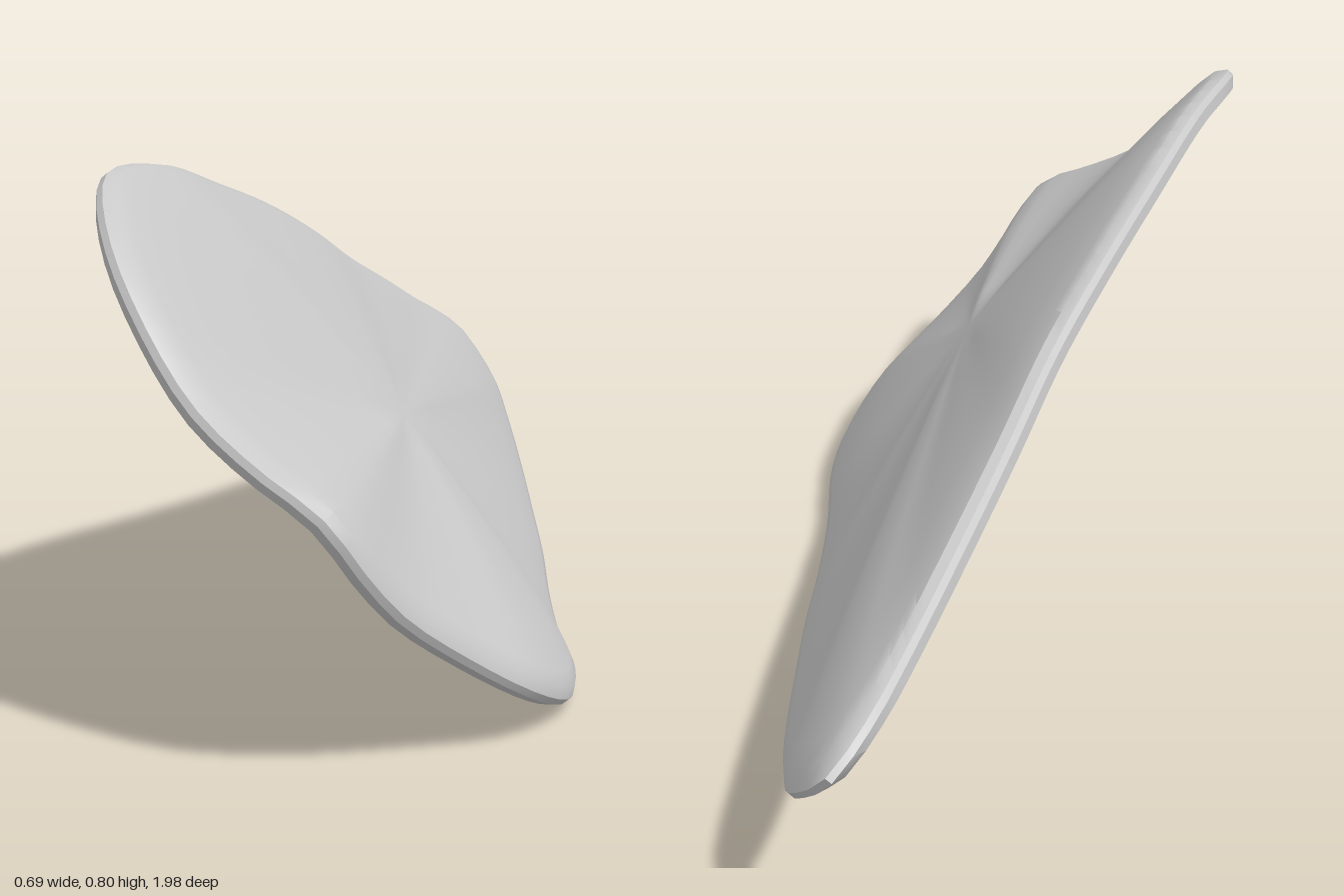
import * as THREE from 'three';
import { toCreasedNormals } from 'three/addons/utils/BufferGeometryUtils.js';

// Outline of the plate as [x, y, z]: along the upper edge front to back, then the lower edge back to front
const upperEdge = [
  [0.07, 0.40, 0.99], [-0.04, 0.465, 0.95], [-0.14, 0.535, 0.89], [-0.25, 0.67, 0.8], [-0.31, 0.755, 0.7],
  [-0.34, 0.80, 0.58], [-0.32, 0.79, 0.4], [-0.288, 0.735, 0.2], [-0.255, 0.675, 0], [-0.22, 0.6, -0.2],
  [-0.197, 0.52, -0.4], [-0.175, 0.45, -0.6], [-0.148, 0.375, -0.8], [-0.13, 0.335, -0.91],
];
const lowerEdge = [
  [-0.095, 0.285, -0.99], [-0.02, 0.205, -0.92], [0.03, 0.145, -0.8], [0.09, 0.09, -0.6], [0.14, 0.06, -0.4],
  [0.187, 0.04, -0.2], [0.227, 0.024, 0], [0.272, 0.017, 0.2], [0.325, 0.021, 0.4], [0.34, 0.035, 0.55],
  [0.31, 0.09, 0.7], [0.24, 0.16, 0.8], [0.165, 0.245, 0.9], [0.125, 0.31, 0.95],
];

// Rings from upper centre, round the rim, to lower centre: [scale of outline, height off the plane]
const rings = [
  [0.2, 0.063], [0.4, 0.057], [0.6, 0.05], [0.8, 0.038], [0.93, 0.027], [0.975, 0.02], [1, 0.006], [1, -0.006],
  [0.975, -0.021], [0.93, -0.021], [0.8, -0.012], [0.6, 0], [0.4, 0.008], [0.2, 0.014],
];

function plateGeometry(segments) {
  const center = new THREE.Vector3(0, 0.36, 0.3);
  const normal = new THREE.Vector3(0.74, 0.665, -0.103).normalize();
  const outline = new THREE.CatmullRomCurve3(
    [...upperEdge, ...lowerEdge].map((p) => new THREE.Vector3(...p)), true, 'centripetal');
  const edge = outline.getSpacedPoints(segments).slice(0, segments);
  const positions = [];
  const index = [];
  const add = (point, height) => positions.push(...point.addScaledVector(normal, height).toArray());

  for (const [scale, height] of rings) {
    for (const p of edge) add(center.clone().lerp(p, scale), height);
  }
  add(center.clone(), 0.065);
  add(center.clone(), 0.016);

  const top = rings.length * segments;
  const last = (rings.length - 1) * segments;
  for (let i = 0; i < segments; i++) {
    const j = (i + 1) % segments;
    for (let r = 0; r < last; r += segments) {
      const a = r + i, b = r + j, c = a + segments, d = b + segments;
      index.push(a, b, d, a, d, c);
    }
    index.push(top, j, i, top + 1, last + i, last + j);
  }

  const geometry = new THREE.BufferGeometry();
  geometry.setAttribute('position', new THREE.Float32BufferAttribute(positions, 3));
  geometry.setIndex(index);
  return toCreasedNormals(geometry, 0.6);
}

export function createModel() {
  const group = new THREE.Group();
  group.name = 'curvedPlate';
  const grey = new THREE.MeshStandardMaterial({ color: 0xc8c8c8 });
  grey.name = 'lightGrey';

  // Thin tilted teardrop shell with a domed upper face and a hollowed underside
  const plate = new THREE.Mesh(plateGeometry(96), grey);
  plate.name = 'teardropPlate';
  group.add(plate);
  return group;
}
